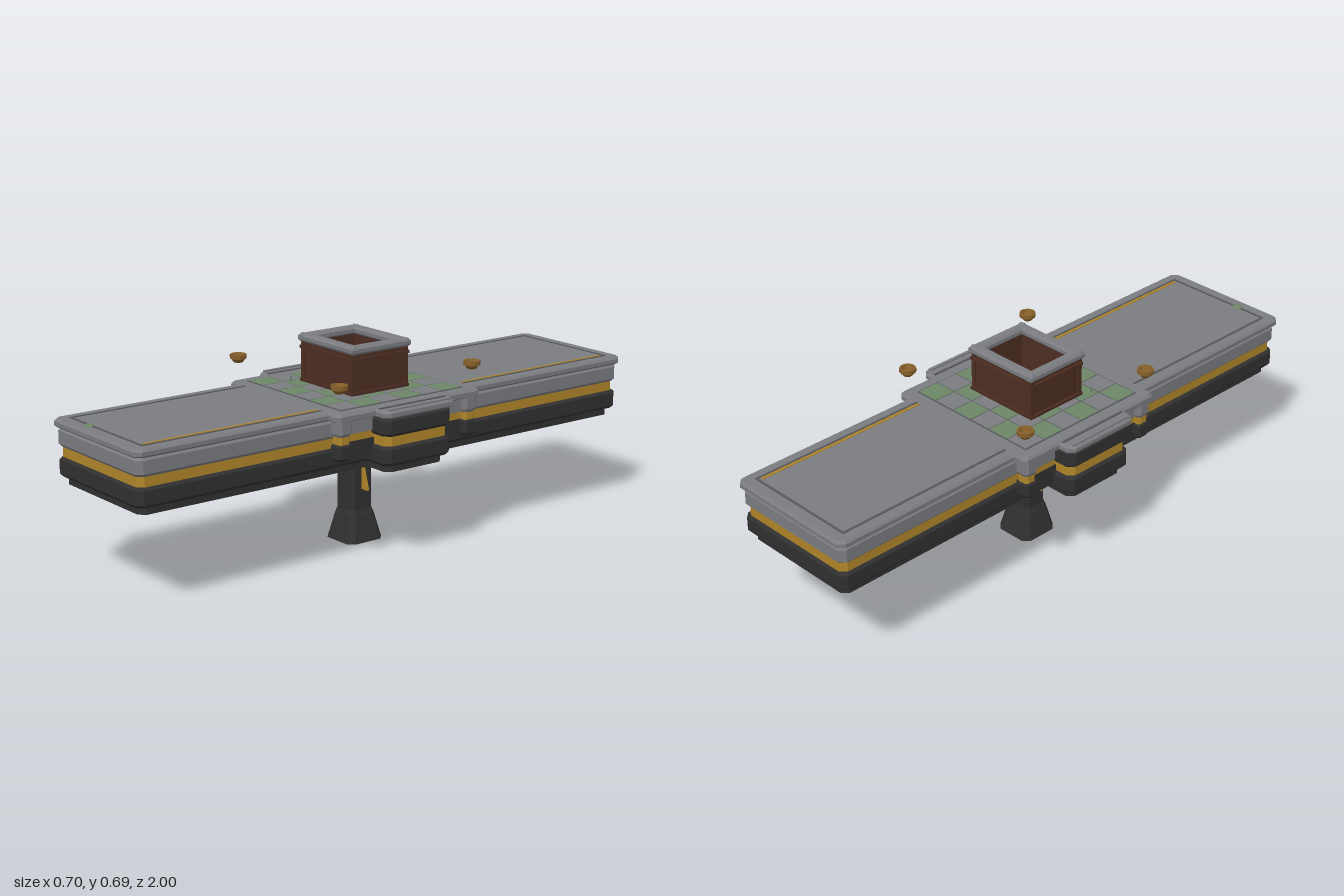
import * as THREE from 'three';

const mat = (name, color) => {
  const m = new THREE.MeshStandardMaterial({ color });
  m.name = name;
  return m;
};

export function createModel() {
  const stone = mat('grey stone', 0x7b7c80);
  const seam = mat('seam grey', 0x58595c);
  const dark = mat('dark metal', 0x303030);
  const gold = mat('gold trim', 0xb08529);
  const brown = mat('brown wood', 0x4c2d22);
  const moss = mat('green tile', 0x6c8766);
  const bronze = mat('bronze', 0x86602a);
  const model = new THREE.Group();
  model.name = 'steppedPlatform';

  const add = (name, geo, material, x = 0, y = 0, z = 0, parent = model) => {
    const mesh = new THREE.Mesh(geo, material);
    mesh.name = name;
    mesh.position.set(x, y, z);
    parent.add(mesh);
    return mesh;
  };
  const box = (name, material, w, h, d, x, y, z, parent) =>
    add(name, new THREE.BoxGeometry(w, h, d), material, x, y, z, parent);

  const faceted = (geo) => {
    const g = geo.index ? geo.toNonIndexed() : geo;
    g.computeVertexNormals();
    return g;
  };

  // Stacked rectangles with cut corners; each level is [y, half x, half z, corner]
  function loft(levels) {
    const rings = levels.map(([y, a, b, c]) => [
      [a, b - c], [a, c - b], [a - c, -b], [c - a, -b],
      [-a, c - b], [-a, b - c], [c - a, b], [a - c, b],
    ].map(([x, z]) => [x, y, z]));
    const pos = [];
    const tri = (...pts) => pts.forEach((p) => pos.push(...p));
    for (let k = 0; k < rings.length - 1; k++) {
      const lo = rings[k], hi = rings[k + 1];
      for (let i = 0; i < 8; i++) {
        const j = (i + 1) % 8;
        tri(lo[i], lo[j], hi[j]);
        tri(lo[i], hi[j], hi[i]);
      }
    }
    const top = rings[rings.length - 1], bottom = rings[0];
    for (let i = 1; i < 7; i++) {
      tri(top[0], top[i], top[i + 1]);
      tri(bottom[0], bottom[i + 1], bottom[i]);
    }
    const g = new THREE.BufferGeometry();
    g.setAttribute('position', new THREE.Float32BufferAttribute(pos, 3));
    g.computeVertexNormals();
    return g;
  }

  // Layered hull: dark base, gold band, upper wall and overhanging slab
  function hull(name, a, b, c, base, upper, lift = 0) {
    const g = new THREE.Group();
    g.name = name;
    model.add(g);
    add('hullFoot', loft([[0.315 + lift, a - 0.02, b - 0.02, c], [0.345, a - 0.02, b - 0.02, c]]), base, 0, 0, 0, g);
    add('hullBase', loft([[0.34, a - 0.008, b - 0.008, c], [0.35, a, b, c], [0.395, a, b, c],
      [0.405, a - 0.01, b - 0.01, c]]), base, 0, 0, 0, g);
    add('goldBand', loft([[0.4, a - 0.009, b - 0.009, c], [0.44, a - 0.009, b - 0.009, c]]), gold, 0, 0, 0, g);
    add('upperWall', loft([[0.435, a - 0.01, b - 0.01, c], [0.446, a, b, c], [0.488, a, b, c],
      [0.5, a - 0.01, b - 0.01, c]]), upper, 0, 0, 0, g);
    add('topSlab', loft([[0.497, a, b, c], [0.504, a + 0.009, b + 0.009, c], [0.517, a + 0.009, b + 0.009, c],
      [0.5245 - lift, a + 0.002, b + 0.002, c]]), stone, 0, 0, 0, g);
  }
  hull('longHull', 0.238, 0.99, 0.02, dark, stone);
  hull('sideBays', 0.34, 0.138, 0.02, dark, dark, 0.001);

  // Middle block under the tiled floor
  add('middleBase', loft([[0.365, 0.265, 0.25, 0.01], [0.425, 0.265, 0.25, 0.01]]), dark);
  add('middleBand', loft([[0.425, 0.262, 0.248, 0.01], [0.452, 0.262, 0.248, 0.01]]), gold);
  add('middleWall', loft([[0.45, 0.268, 0.252, 0.01], [0.5, 0.268, 0.252, 0.01]]), stone);
  add('middleSlab', loft([[0.497, 0.282, 0.285, 0.012], [0.503, 0.295, 0.296, 0.012],
    [0.518, 0.295, 0.296, 0.012], [0.526, 0.288, 0.29, 0.012]]), stone);

  const bowl = faceted(new THREE.LatheGeometry([[0, 0], [0.015, 0], [0.025, 0.012], [0.028, 0.013],
    [0.028, 0.027], [0.021, 0.027], [0.016, 0.015], [0, 0.013]].map(([x, y]) => new THREE.Vector2(x, y)), 10));
  for (const sx of [1, -1]) for (const sz of [1, -1]) {
    // Corner post with a floating bowl above
    const x = sx * 0.263, z = sz * 0.258;
    add('cornerPostBase', loft([[0.37, 0.02, 0.02, 0.008], [0.38, 0.027, 0.027, 0.01],
      [0.418, 0.027, 0.027, 0.01], [0.426, 0.021, 0.021, 0.008]]), dark, x, 0, z);
    add('cornerPostBand', loft([[0.424, 0.022, 0.022, 0.008], [0.455, 0.022, 0.022, 0.008]]), gold, x, 0, z);
    add('cornerPostTop', loft([[0.45, 0.022, 0.022, 0.008], [0.46, 0.027, 0.027, 0.01],
      [0.5, 0.027, 0.027, 0.01]]), stone, x, 0, z);
    add('floatingBowl', bowl, bronze, sx * 0.273, 0.591, sz * 0.273);
  }

  // Bay parapets
  for (const s of [1, -1]) {
    box('bayRail', stone, 0.012, 0.006, 0.25, s * 0.334, 0.5255, 0);
    box('baySeam', seam, 0.008, 0.004, 0.27, s * 0.3, 0.5245, 0);
  }

  // Inlaid frame and gold strip on each wing
  for (const s of [1, -1]) {
    for (const sx of [1, -1]) box('deckSeam', seam, 0.008, 0.004, 0.66, sx * 0.205, 0.5245, s * 0.625);
    box('deckEndSeam', seam, 0.41, 0.004, 0.008, 0, 0.5245, s * 0.952);
    box('deckGoldStrip', gold, 0.01, 0.004, 0.64, 0.194, 0.5248, s * 0.62);
  }
  const tuft = faceted(new THREE.IcosahedronGeometry(1, 0));
  add('mossTuft', tuft, moss, -0.09, 0.525, 0.955).scale.set(0.024, 0.003, 0.018);
  box('grassBlade', moss, 0.003, 0.022, 0.003, -0.149, 0.537, 0.15);

  // Chequered tile floor
  box('tileGrout', seam, 0.505, 0.003, 0.505, 0, 0.5265, 0);
  const pitch = 0.0835;
  for (let r = 0; r < 6; r++) for (let c = 0; c < 6; c++) {
    box('floorTile', (r + c) % 2 ? moss : stone, pitch - 0.004, 0.003, pitch - 0.004,
      (c - 2.5) * pitch, 0.5275, (r - 2.5) * pitch);
  }

  // Rectangular frame around the y axis, from the outer and inner half sizes
  function frame(a, b, ia, ib, h, bevel = 0) {
    const shape = new THREE.Shape([[a, b], [-a, b], [-a, -b], [a, -b]].map((p) => new THREE.Vector2(...p)));
    shape.holes.push(new THREE.Path([[ia, ib], [ia, -ib], [-ia, -ib], [-ia, ib]].map((p) => new THREE.Vector2(...p))));
    return new THREE.ExtrudeGeometry(shape, {
      depth: h, bevelEnabled: bevel > 0, bevelSize: bevel, bevelThickness: bevel, bevelSegments: 1,
    }).rotateX(-Math.PI / 2);
  }

  // Wooden planter with bands, corner posts and a stone rim
  const planter = new THREE.Group();
  planter.name = 'planter';
  model.add(planter);
  add('planterWalls', frame(0.132, 0.11, 0.112, 0.09, 0.14), brown, 0, 0.527, 0, planter);
  for (const y of [0.53, 0.641]) add('planterBand', frame(0.141, 0.118, 0.13, 0.108, 0.01), brown, 0, y, 0, planter);
  add('planterRim', frame(0.137, 0.114, 0.115, 0.092, 0.012, 0.008), stone, 0, 0.671, 0, planter);
  for (const sx of [1, -1]) for (const sz of [1, -1]) {
    box('planterPost', brown, 0.015, 0.135, 0.015, sx * 0.13, 0.595, sz * 0.108, planter);
    add('rimCorner', tuft, stone, sx * 0.131, 0.679, sz * 0.108, planter).scale.set(0.018, 0.017, 0.018);
  }

  // Gold medallion on the planter floor
  box('planterFloor', stone, 0.226, 0.003, 0.182, 0, 0.529, 0, planter);
  box('medallionPlate', brown, 0.126, 0.004, 0.126, 0, 0.532, 0, planter);
  for (const s of [1, -1]) {
    box('medallionRay', gold, 0.165, 0.004, 0.012, 0, 0.5335, 0, planter).rotation.y = s * Math.PI / 4;
  }
  add('medallionDisc', new THREE.CylinderGeometry(0.048, 0.048, 0.006, 16), gold, 0, 0.535, 0, planter);

  // Flared pedestal with gold fins
  add('pedestal', loft([[0, 0.074, 0.074, 0.022], [0.088, 0.053, 0.053, 0.016],
    [0.106, 0.046, 0.046, 0.014], [0.32, 0.046, 0.046, 0.014]]), dark);
  const fin = new THREE.ExtrudeGeometry(new THREE.Shape([[0.04, 0.178], [0.074, 0.178], [0.045, 0.276], [0.04, 0.276]]
    .map((p) => new THREE.Vector2(...p))), { depth: 0.01, bevelEnabled: false }).translate(0, 0, -0.005);
  for (const s of [0, 1]) add('pedestalFin', fin, gold).rotation.y = s * Math.PI;

  return model;
}
